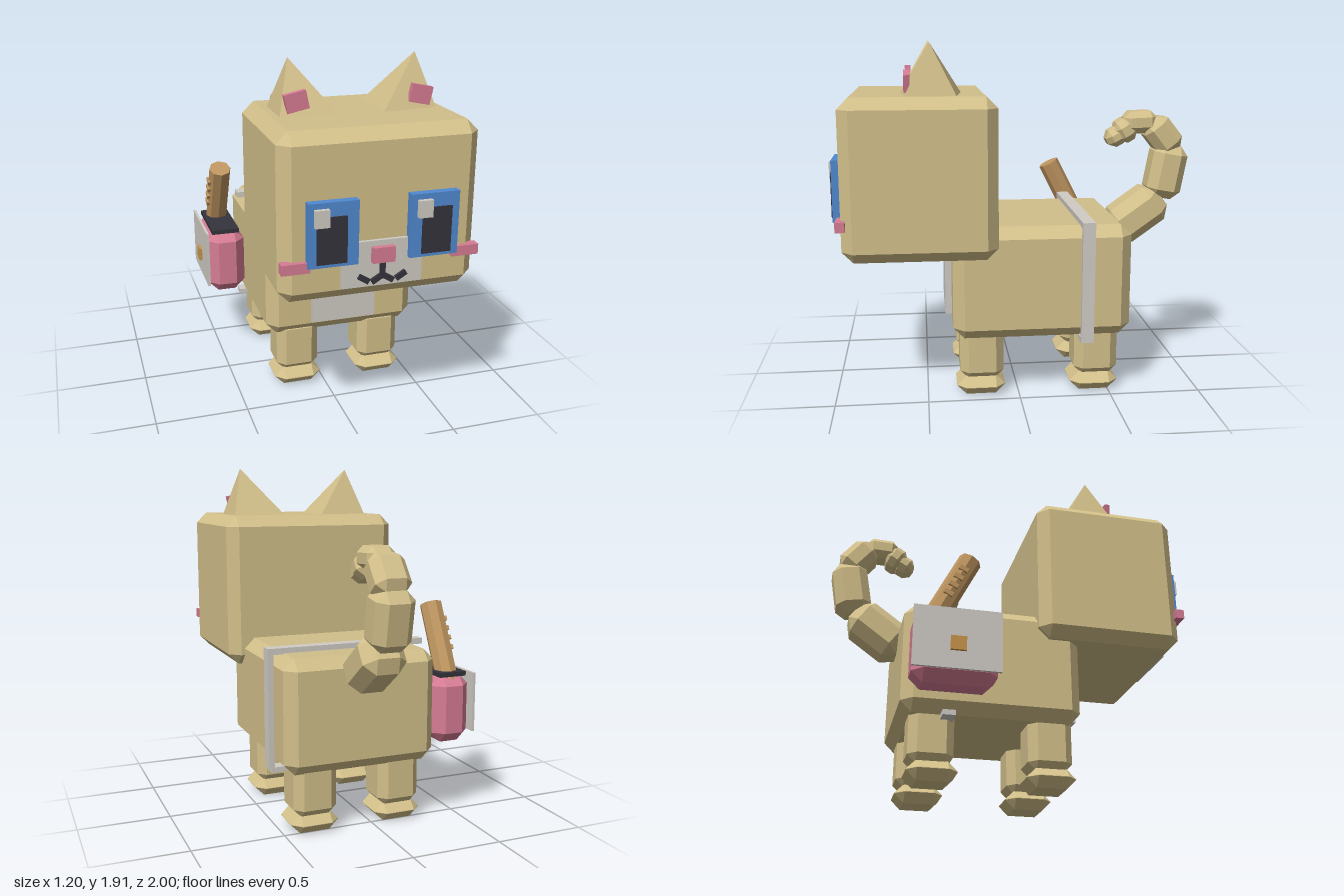
import * as THREE from 'three';
import { ConvexGeometry } from 'three/addons/geometries/ConvexGeometry.js';

const CX = 0.088; // symmetry plane of the cat

function material(name, color) {
  const m = new THREE.MeshStandardMaterial({ color, flatShading: true });
  m.name = name;
  return m;
}

// Box with every edge cut at 45 degrees by c
function chamferBox(w, h, d, c) {
  const pts = [], x = w / 2, y = h / 2, z = d / 2;
  for (const i of [-1, 1]) for (const j of [-1, 1]) for (const k of [-1, 1]) {
    pts.push(
      new THREE.Vector3(i * x, j * (y - c), k * (z - c)),
      new THREE.Vector3(i * (x - c), j * y, k * (z - c)),
      new THREE.Vector3(i * (x - c), j * (y - c), k * z));
  }
  return new ConvexGeometry(pts);
}

export function createModel() {
  const cat = new THREE.Group();
  cat.name = 'cat';
  const fur = material('tan fur', 0xd2bf8a);
  const white = material('pale grey', 0xd0ccc5);
  const pink = material('pink', 0xd67c94);
  const blue = material('blue', 0x5089d0);
  const black = material('charcoal', 0x35333c);
  const wood = material('wood', 0xbf9560);
  const gold = material('gold', 0xc8964a);

  function add(name, geometry, mat, x = 0, y = 0, z = 0, parent = cat) {
    const mesh = new THREE.Mesh(geometry, mat);
    mesh.name = name;
    mesh.position.set(x, y, z);
    parent.add(mesh);
    return mesh;
  }
  // Box given by its limits on each axis; c > 0 chamfers it
  function block(name, mat, [x0, x1], [y0, y1], [z0, z1], c = 0) {
    const w = x1 - x0, h = y1 - y0, d = z1 - z0;
    const geo = c ? chamferBox(w, h, d, c) : new THREE.BoxGeometry(w, h, d);
    return add(name, geo, mat, (x0 + x1) / 2, (y0 + y1) / 2, (z0 + z1) / 2);
  }
  // Limits measured from the symmetry plane, for side s
  const side = (s, a, b) => (s > 0 ? [CX + a, CX + b] : [CX - b, CX - a]);

  // Head and body
  block('head', fur, [-0.42, 0.596], [0.797, 1.647], [0.12, 0.93], 0.06);
  block('body', fur, [-0.34, 0.516], [0.34, 0.955], [-0.605, 0.36], 0.06);
  block('chestPatch', white, [-0.095, 0.27], [0.42, 0.85], [0.34, 0.395]);

  for (const s of [-1, 1]) {
    const label = s > 0 ? 'left' : 'right';

    // Legs and paws
    for (const [end, z] of [['Front', 0.203], ['Rear', -0.43]]) {
      block(label + end + 'Leg', fur, side(s, 0.122, 0.362), [0.09, 0.4], [z - 0.12, z + 0.12], 0.045);
      const pz = z + (end === 'Front' ? 0.005 : 0.01);
      block(label + end + 'Paw', fur, side(s, 0.108, 0.376), [0, 0.107], [pz - 0.133, pz + 0.133], 0.052);
    }

    // Ear leaning outwards, with its pink inner patch
    const p = (x, y, z) => new THREE.Vector3(CX + s * x, y, z);
    add(label + 'Ear', new ConvexGeometry([
      p(0.113, 1.64, 0.29), p(0.113, 1.64, 0.625),
      p(0.413, 1.64, 0.592), p(0.413, 1.64, 0.325), p(0.337, 1.915, 0.462),
    ]), fur);
    const inner = add(label + 'InnerEar', new THREE.BoxGeometry(0.114, 0.093, 0.032), pink, CX + s * 0.326, 1.718, 0.58);
    inner.rotation.z = -s * 0.21;

    // Eye, pupil, glint and cheek
    block(label + 'Eye', blue, side(s, 0.131, 0.381), [1, 1.323], [0.91, 0.974]);
    block(label + 'Pupil', black, side(s, 0.19, 0.342), [1.018, 1.253], [0.974, 0.982]);
    const gx = s > 0 ? 0.287 : -0.23;
    block(label + 'EyeGlint', white, [gx - 0.036, gx + 0.036], [1.208, 1.295], [0.974, 0.998]);
    block(label + 'Cheek', pink, side(s, 0.365, 0.507), [0.973, 1.026], [0.905, 0.955]);

    // Two strokes on each side of the mouth
    for (const [x, y, a] of [[0.03, 0.905, -0.55], [0.096, 0.91, 0.55]]) {
      const stroke = add(label + 'MouthStroke', new THREE.BoxGeometry(0.06, 0.028, 0.02), black, CX + s * x, y, 0.953);
      stroke.rotation.z = s * a;
    }
  }

  // Muzzle
  block('muzzle', white, [-0.12, 0.296], [0.866, 1.1], [0.92, 0.948]);
  block('nose', pink, [0.03, 0.145], [0.993, 1.072], [0.93, 0.978]);
  block('mouthLine', black, [0.075, 0.101], [0.905, 0.993], [0.943, 0.963]);

  // Curled tail: chamfered links between pairs of (z, y) points
  const links = [
    [-0.575, 0.835, -0.855, 1.035, 0.228, 0.06],
    [-0.855, 1.03, -0.91, 1.335, 0.198, 0.05],
    [-0.925, 1.3, -0.785, 1.475, 0.165, 0.045],
    [-0.815, 1.468, -0.63, 1.462, 0.125, 0.035],
    [-0.69, 1.452, -0.585, 1.385, 0.135, 0.04],
    [-0.635, 1.41, -0.535, 1.355, 0.105, 0.034],
  ];
  const up = new THREE.Vector3(0, 1, 0);
  links.forEach(([z0, y0, z1, y1, t, c], i) => {
    const dir = new THREE.Vector3(0, y1 - y0, z1 - z0);
    const link = add('tailLink' + (i + 1), chamferBox(i < 2 ? t + 0.012 : t + 0.03, dir.length(), t, c), fur,
      CX, (y0 + y1) / 2, (z0 + z1) / 2);
    link.quaternion.setFromUnitVectors(up, dir.normalize());
  });

  // Strap around the body
  const strapZ = [-0.393, -0.325];
  block('strapTop', white, [-0.355, 0.54], [0.95, 0.983], strapZ);
  block('strapSide', white, [0.513, 0.545], [0.335, 0.983], strapZ);
  block('strapBottom', white, [-0.355, 0.53], [0.315, 0.343], strapZ);

  // Side bag
  block('bag', pink, [-0.57, -0.35], [0.415, 0.795], [-0.583, -0.143], 0.058);
  block('bagRim', black, [-0.543, -0.383], [0.785, 0.81], [-0.555, -0.17]);
  block('bagFlap', white, [-0.584, -0.569], [0.475, 0.805], [-0.59, -0.135]);
  block('bagBuckle', gold, [-0.6, -0.582], [0.57, 0.645], [-0.4, -0.32]);

  // Wooden stick leaning out of the bag, with small notches on its side
  const stick = new THREE.Group();
  stick.name = 'stick';
  stick.position.set(-0.463, 0.945, -0.393);
  stick.rotation.x = 0.47;
  cat.add(stick);
  add('stickShaft', new THREE.CylinderGeometry(0.063, 0.063, 0.47, 8), wood, 0, 0, 0, stick);
  for (let i = 0; i < 4; i++) {
    add('stickNotch', new THREE.BoxGeometry(0.02, 0.025, 0.05), wood, -0.06, -0.03 + i * 0.056, 0, stick);
  }
  return cat;
}
